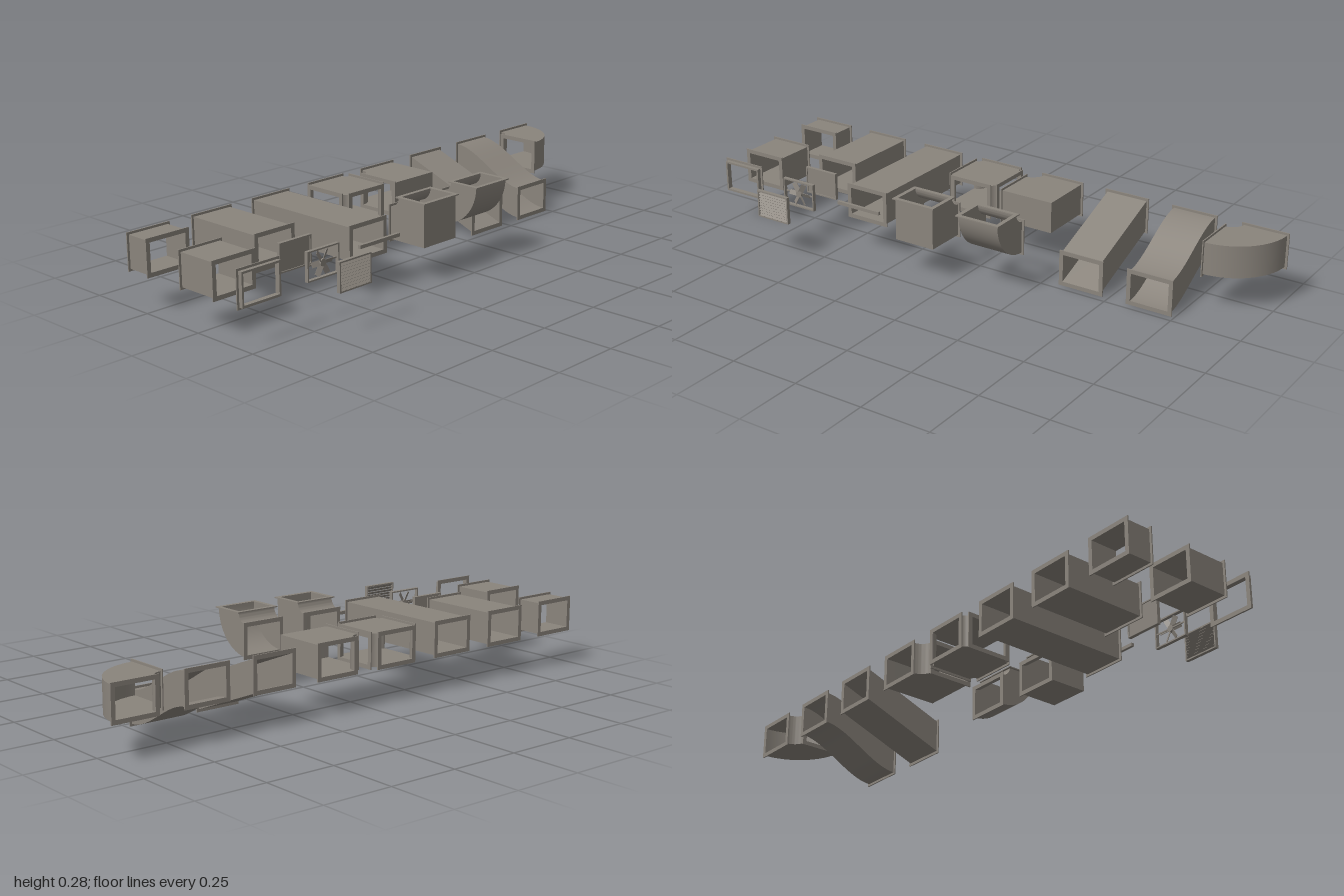
import * as THREE from 'three';
import { toCreasedNormals } from 'three/addons/utils/BufferGeometryUtils.js';

const W = 0.155, H = 0.114, T = 0.007, LIP = 0.008, MID = 0.185, BACK = -0.337, PITCH = 0.2614;
const colX = (i) => -0.915 + i * PITCH;

export function createModel() {
  const model = new THREE.Group();
  const metal = new THREE.MeshStandardMaterial({ color: 0x8a847c, side: THREE.DoubleSide });
  metal.name = 'galvanised grey';

  const add = (parent, name, geo, x = 0, y = 0, z = 0) => {
    const m = new THREE.Mesh(geo, metal);
    m.name = name;
    m.position.set(x, y, z);
    parent.add(m);
    return m;
  };
  const piece = (name, x, y, z) => {
    const g = new THREE.Group();
    g.name = name;
    g.position.set(x, y, z);
    model.add(g);
    return g;
  };

  // Rectangular ring, centred, with its depth along z
  const ring = (w, h, iw, ih, depth) => {
    const rect = (P, a, b) => new P([[-a, -b], [a, -b], [a, b], [-a, b]].map((p) => new THREE.Vector2(p[0] / 2, p[1] / 2)));
    const s = rect(THREE.Shape, w, h);
    s.holes.push(rect(THREE.Path, iw, ih));
    return new THREE.ExtrudeGeometry(s, { depth, bevelEnabled: false }).translate(0, 0, -depth / 2);
  };
  const flangeGeo = (w, h) => ring(w + 2 * LIP, h + 2 * LIP, w - 2 * T, h - 2 * T, 0.004);

  // Hollow duct through sections [outerU, outerV, innerU, innerV], of the given width along z
  const ductGeo = (sections, width) => {
    const pos = [], idx = [];
    for (const [au, av, bu, bv] of sections) {
      const len = Math.hypot(bu - au, bv - av), eu = (bu - au) / len * T, ev = (bv - av) / len * T;
      for (const t of [0, 1]) {
        const w = width / 2 - t * T;
        pos.push(au + eu * t, av + ev * t, -w, bu - eu * t, bv - ev * t, -w,
          bu - eu * t, bv - ev * t, w, au + eu * t, av + ev * t, w);
      }
    }
    const quad = (a, b, c, d) => idx.push(a, b, c, a, c, d);
    for (let i = 0; i < sections.length - 1; i++) {
      for (let k = 0; k < 4; k++) {
        const a = i * 8 + k, b = i * 8 + (k + 1) % 4;
        quad(a, b, b + 8, a + 8);
        quad(b + 4, a + 4, a + 12, b + 12);
      }
    }
    const e = (sections.length - 1) * 8;
    for (let k = 0; k < 4; k++) {
      const n = (k + 1) % 4;
      quad(n, k, k + 4, n + 4);
      quad(e + k, e + n, e + n + 4, e + k + 4);
    }
    const g = new THREE.BufferGeometry();
    g.setAttribute('position', new THREE.Float32BufferAttribute(pos, 3));
    g.setIndex(idx);
    return toCreasedNormals(g, 0.6);
  };

  // Straight ducts
  const straight = (name, col, z0, z1) => {
    const g = piece(name, colX(col), MID, (z0 + z1) / 2), L = z1 - z0;
    add(g, 'duct body', ring(W, H, W - 2 * T, H - 2 * T, L));
    for (const s of [-1, 1]) add(g, 'flange', flangeGeo(W, H), 0, 0, s * (L / 2 - 0.002));
  };
  straight('shortDuct', 0, BACK, -0.237);
  straight('mediumDuct', 0, -0.08, 0.079);
  straight('longDuct', 1, BACK, -0.026);
  straight('extraLongDuct', 2, BACK, 0.133);

  // End collar
  const collar = piece('endCollar', colX(0), MID, 0.185);
  add(collar, 'flange', flangeGeo(W, H), 0, 0, 0.002);
  add(collar, 'sleeve', ring(W, H, W - 2 * T, H - 2 * T, 0.018), 0, 0, 0.009);

  // Elbows: arc about the local origin, either round or with a square outer corner
  const elbow = (name, pos, d, width, r, sign, square) => {
    const g = piece(name, ...pos), secs = [], n = 16, R = r + d;
    for (let i = 0; i <= n; i++) {
      const a = i / n * Math.PI / 2, c = Math.cos(a), s = Math.sin(a) * sign;
      const k = square ? R / Math.max(c, Math.abs(s)) : R;
      secs.push([k * c, k * s, r * c, r * s]);
    }
    add(g, 'elbow body', ductGeo(secs, width));
    add(g, 'flange', flangeGeo(d, width).rotateX(Math.PI / 2), r + d / 2, sign * 0.002, 0);
    add(g, 'flange', flangeGeo(width, d).rotateY(Math.PI / 2), 0.002, sign * (r + d / 2), 0);
    return g;
  };
  elbow('squareSideElbow', [0.002, MID, BACK], W, H, 0.05, 1, true).rotation.x = Math.PI / 2;
  elbow('roundSideElbow', [0.7875, MID, BACK], W, H, 0.05, 1, false).rotation.x = Math.PI / 2;
  elbow('squareUpElbow', [colX(3), 0.282, 0.055], H, W, 0.04, -1, true).rotation.y = -Math.PI / 2;
  elbow('roundUpElbow', [colX(4), 0.282, 0.055], H, W, 0.04, -1, false).rotation.y = -Math.PI / 2;

  // Offset ducts: straight slope and S-curve, dropping towards the front
  const offset = (name, col, steps, ease) => {
    const g = piece(name, colX(col), 0, 0), secs = [], z1 = -0.026, y0 = MID, y1 = 0.065;
    for (let i = 0; i <= steps; i++) {
      const t = i / steps, z = BACK + (z1 - BACK) * t, y = y0 + (y1 - y0) * ease(t);
      secs.push([z, y - H / 2, z, y + H / 2]);
    }
    add(g, 'offset body', ductGeo(secs, W)).rotation.y = -Math.PI / 2;
    add(g, 'back flange', flangeGeo(W, H), 0, y0, BACK + 0.002);
    add(g, 'front flange', flangeGeo(W, H), 0, y1, z1 - 0.002);
  };
  offset('slopedOffset', 5, 1, (t) => t);
  offset('curvedOffset', 6, 20, (t) => t * t * (3 - 2 * t));

  // Four-way cross: plates above and below, rounded corner walls, four flanges
  const E = 0.1025, r = E - W / 2;
  const cross = piece('crossJunction', colX(3), MID, BACK + E);
  const plus = new THREE.Shape();
  const corner = new THREE.Shape();
  for (let q = 0; q < 4; q++) {
    const a = q * Math.PI / 2 + Math.PI / 4;
    plus.absarc(Math.SQRT2 * E * Math.cos(a), Math.SQRT2 * E * Math.sin(a), r, a + Math.PI * 1.25, a + Math.PI * 0.75, true);
  }
  corner.absarc(E, E, r, Math.PI * 1.5, Math.PI, true);
  corner.absarc(E, E, r + T, Math.PI, Math.PI * 1.5, false);
  const plate = new THREE.ExtrudeGeometry(plus, { depth: T, bevelEnabled: false }).rotateX(Math.PI / 2);
  add(cross, 'top plate', plate, 0, H / 2, 0);
  add(cross, 'bottom plate', plate, 0, T - H / 2, 0);
  const wall = new THREE.ExtrudeGeometry(corner, { depth: H - 0.002, bevelEnabled: false }).rotateX(Math.PI / 2);
  for (let q = 0; q < 4; q++) {
    const a = q * Math.PI / 2;
    add(cross, 'corner wall', wall, 0, H / 2 - 0.001, 0).rotation.y = a;
    add(cross, 'flange', flangeGeo(W, H), Math.sin(a) * (E - 0.002), 0, Math.cos(a) * (E - 0.002)).rotation.y = a;
  }

  // Inserts that fit inside the ducts
  const iw = 0.136, ih = 0.1, depth = 0.013;
  const insert = (name, z) => {
    const g = piece(name, colX(1), 0.186, z);
    add(g, 'insert frame', ring(iw, ih, iw - 0.01, ih - 0.01, depth));
    return g;
  };
  const cap = insert('blankingPanel', 0.064);
  add(cap, 'panel', new THREE.BoxGeometry(iw - 0.008, ih - 0.008, 0.006));

  const fan = insert('fanInsert', 0.19);
  add(fan, 'hub', new THREE.CylinderGeometry(0.012, 0.012, 0.011, 20).rotateX(Math.PI / 2));
  for (let i = 0; i < 6; i++) {
    const a = i / 6 * Math.PI * 2;
    const blade = new THREE.BoxGeometry(0.036, 0.018, 0.0015).rotateX(0.5).translate(0.027, 0, 0).rotateZ(a);
    add(fan, 'fan blade', blade);
  }
  add(fan, 'motor support', new THREE.BoxGeometry(iw - 0.008, 0.005, 0.003), 0, 0, -0.004);

  const louvre = insert('louvreGrille', 0.3305);
  for (let i = 0; i < 9; i++) {
    add(louvre, 'slat', new THREE.BoxGeometry(iw - 0.008, 0.0145, 0.0015), 0, -0.04 + i * 0.01, 0).rotation.x = -Math.PI / 4;
  }

  // Hanger bar
  const bar = piece('hangerBar', colX(2), 0.192, 0.181);
  add(bar, 'bar', new THREE.BoxGeometry(0.182, 0.012, 0.011));

  return model;
}
